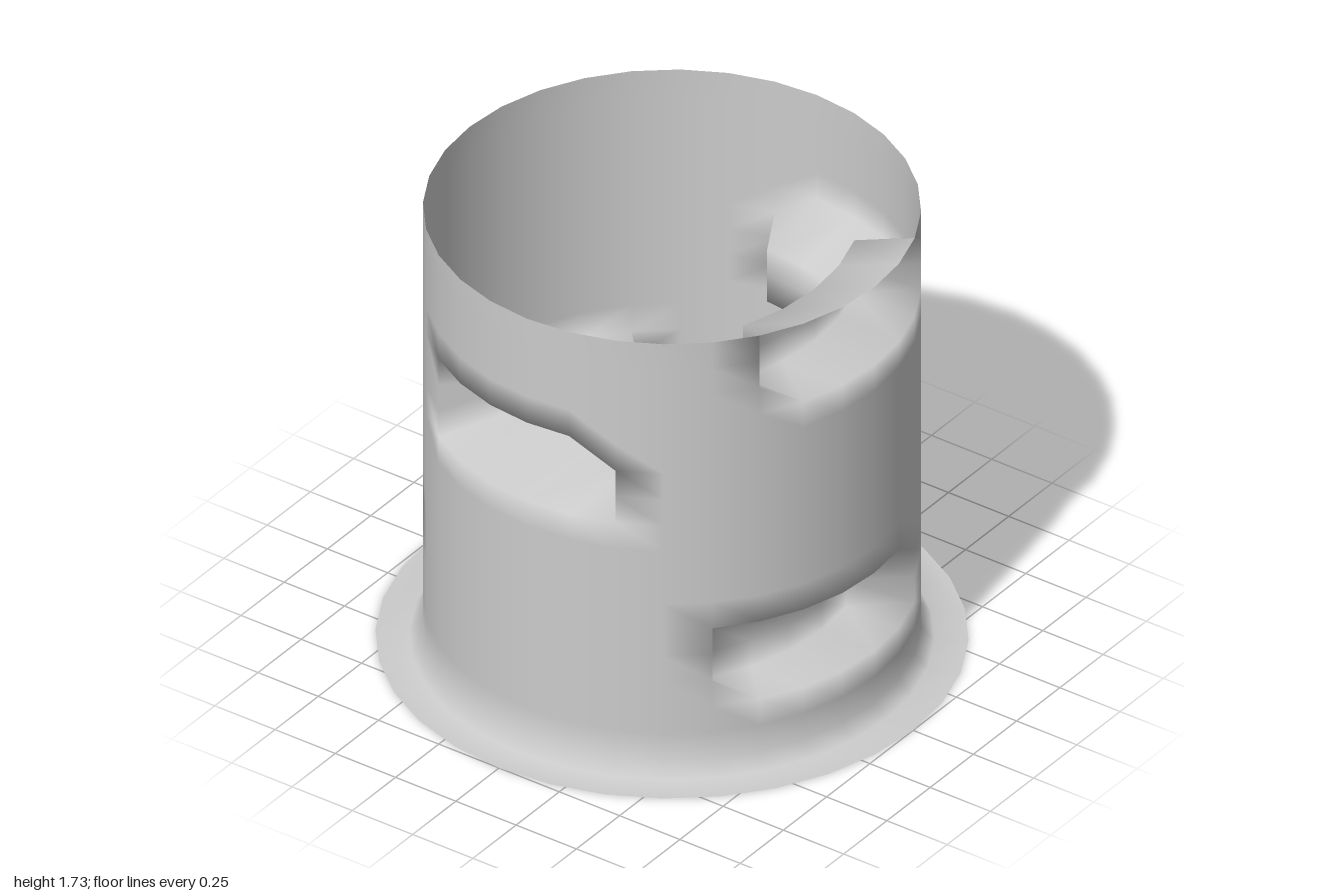
import * as THREE from 'three';

const SIDES = 32, ROWS = 16, RADIUS = 0.84, FOOT = 0.05, HEIGHT = 1.73;

// Pockets pressed into the wall: first and last column, bottom row, inward shift,
// and whether the first lower corner is bevelled
const POCKETS = [
  { name: 'upper', a: 5, b: 11, row: 13, dx: -0.25, dz: 0, bevel: true },
  { name: 'front', a: 29, b: 34, row: 9, dx: 0, dz: -0.45, bevel: false },
  { name: 'back', a: 12, b: 17, row: 9, dx: -0.05, dz: 0.22, bevel: true },
  { name: 'lowerPositiveX', a: 4, b: 10, row: 2, dx: -0.22, dz: 0, bevel: true },
  { name: 'lowerNegativeX', a: 20, b: 27, row: 3, dx: 0.28, dz: 0.04, bevel: true },
];
const POCKET_ROWS = 3;

function sleeveGeometry() {
  const positions = [], index = [], cache = new Map();

  // Shared vertex on the wall, or shifted inward when it belongs to a pocket
  function wall(i, j, pocket) {
    const col = (i + SIDES) % SIDES;
    const key = `${col},${j},${pocket ? pocket.name : ''}`;
    if (!cache.has(key)) {
      // rows -1 and -2 are the flare and the flat rim of the foot
      const r = j >= 0 ? RADIUS : j === -1 ? 0.885 : 1;
      const y = j >= 0 ? FOOT + (HEIGHT - FOOT) * j / ROWS : 0;
      const t = col * 2 * Math.PI / SIDES;
      cache.set(key, positions.length / 3);
      positions.push(
        r * Math.sin(t) + (pocket ? pocket.dx : 0), y,
        r * Math.cos(t) + (pocket ? pocket.dz : 0));
    }
    return cache.get(key);
  }

  // Pocket that covers a wall cell
  function pocketAt(i, j) {
    return POCKETS.find(p => j >= p.row && j < p.row + POCKET_ROWS &&
      [i, i + SIDES].some(c => c >= p.a && c < p.b));
  }

  // Corner of a cell, pressed in if it is inside the pocket's border
  function corner(i, j, p) {
    const inside = p && j < p.row + POCKET_ROWS &&
      [i, i + SIDES].some(c => c > p.a && c < p.b);
    return wall(i, j, inside ? p : null);
  }

  // Foot, wall and pocket backs
  for (let j = -2; j < ROWS; j++) {
    for (let i = 0; i < SIDES; i++) {
      const p = pocketAt(i, j);
      const bevelled = p && p.bevel && j === p.row && i === p.a % SIDES;
      const q = bevelled ? null : p;
      index.push(corner(i, j, q), corner(i + 1, j, q), corner(i, j + 1, q));
      index.push(corner(i + 1, j, p), corner(i + 1, j + 1, p), corner(i, j + 1, p));
    }
  }

  // Flat ledge along the bottom of each pocket
  for (const p of POCKETS) {
    for (let i = p.a; i < p.b; i++) {
      const o0 = wall(i, p.row), o1 = wall(i + 1, p.row);
      const n0 = wall(i, p.row, p), n1 = wall(i + 1, p.row, p);
      if (i === p.a) index.push(p.bevel ? wall(i, p.row + 1) : o0, o1, n1);
      else if (i === p.b - 1) index.push(o0, o1, n0);
      else index.push(o0, o1, n1, o0, n1, n0);
    }
  }

  const geometry = new THREE.BufferGeometry();
  geometry.setAttribute('position', new THREE.Float32BufferAttribute(positions, 3));
  geometry.setIndex(index);
  geometry.computeVertexNormals();
  return geometry;
}

export function createModel() {
  const model = new THREE.Group();
  model.name = 'pocketedSleeve';
  const material = new THREE.MeshStandardMaterial({ color: 0xcccccc, side: THREE.DoubleSide });
  const sleeve = new THREE.Mesh(sleeveGeometry(), material);
  sleeve.name = 'sleeveWithPocketsAndFlaredFoot';
  model.add(sleeve);
  return model;
}
